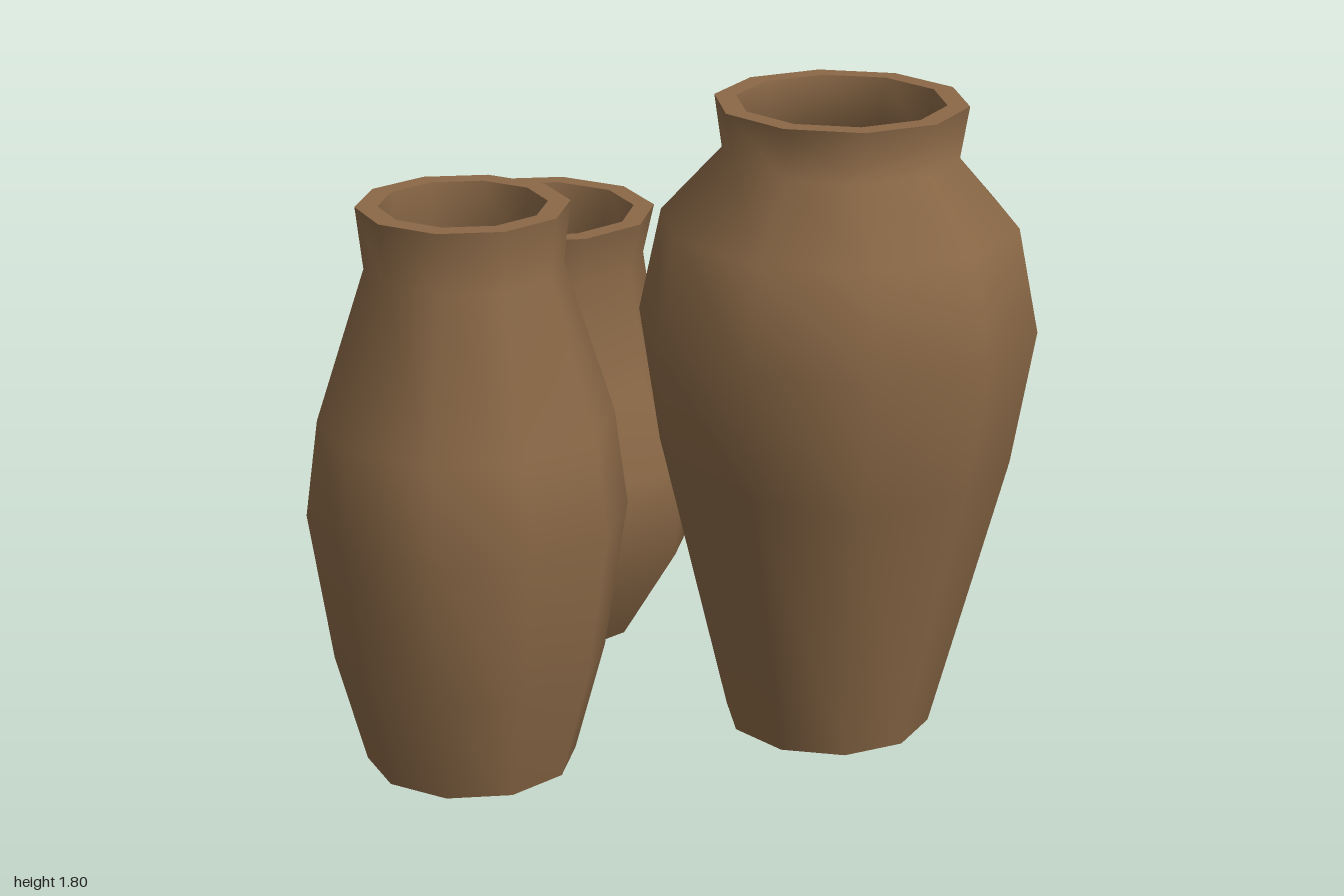
import * as THREE from 'three';

const clay = new THREE.MeshStandardMaterial({ color: 0x8b6947 });
clay.name = 'brown clay';

const SIDES = 10;
const WALL = 0.06;

// Each jar: centre, rotation of the first corner, outer profile as [radius, height]
const JARS = [
  {
    name: 'tallJar', x: 0.44, z: 0.475, turn: Math.PI / SIDES,
    profile: [[0.29, 0], [0.49, 0.8], [0.55, 1.18], [0.49, 1.47], [0.323, 1.655], [0.345, 1.8]],
  },
  {
    name: 'slimJar', x: -0.585, z: 0.3, turn: 0,
    profile: [[0.29, 0], [0.373, 0.31], [0.436, 0.73], [0.4, 1.0], [0.265, 1.42], [0.284, 1.59]],
  },
  {
    name: 'squatJar', x: -0.027, z: -0.508, turn: 0,
    profile: [[0.293, 0], [0.467, 0.29], [0.492, 0.58], [0.365, 0.79], [0.313, 1.15], [0.345, 1.295]],
  },
];

function addLathe(group, name, points, turn) {
  const profile = points.map(([r, y]) => new THREE.Vector2(r, y));
  const mesh = new THREE.Mesh(new THREE.LatheGeometry(profile, SIDES, turn), clay);
  mesh.name = name;
  group.add(mesh);
}

function makeJar({ name, x, z, turn, profile }) {
  const jar = new THREE.Group();
  jar.name = name;
  jar.position.set(x, 0, z);

  const inner = profile.map(([r, y], i) => [r - WALL, i === 0 ? WALL : y]);
  const foot = profile[0];
  const lip = profile[profile.length - 1];
  const mouth = inner[inner.length - 1];

  // Separate sections keep the foot and lip edges sharp
  addLathe(jar, 'base', [[0, 0], foot], turn);
  addLathe(jar, 'outerWall', profile, turn);
  addLathe(jar, 'rim', [lip, mouth], turn);
  // Hollow inside, running from the mouth down to a softly shaded floor
  addLathe(jar, 'innerWall', [...inner.reverse(), [0, WALL]], turn);
  return jar;
}

export function createModel() {
  const model = new THREE.Group();
  model.name = 'clayJars';
  for (const jar of JARS) model.add(makeJar(jar));
  return model;
}
